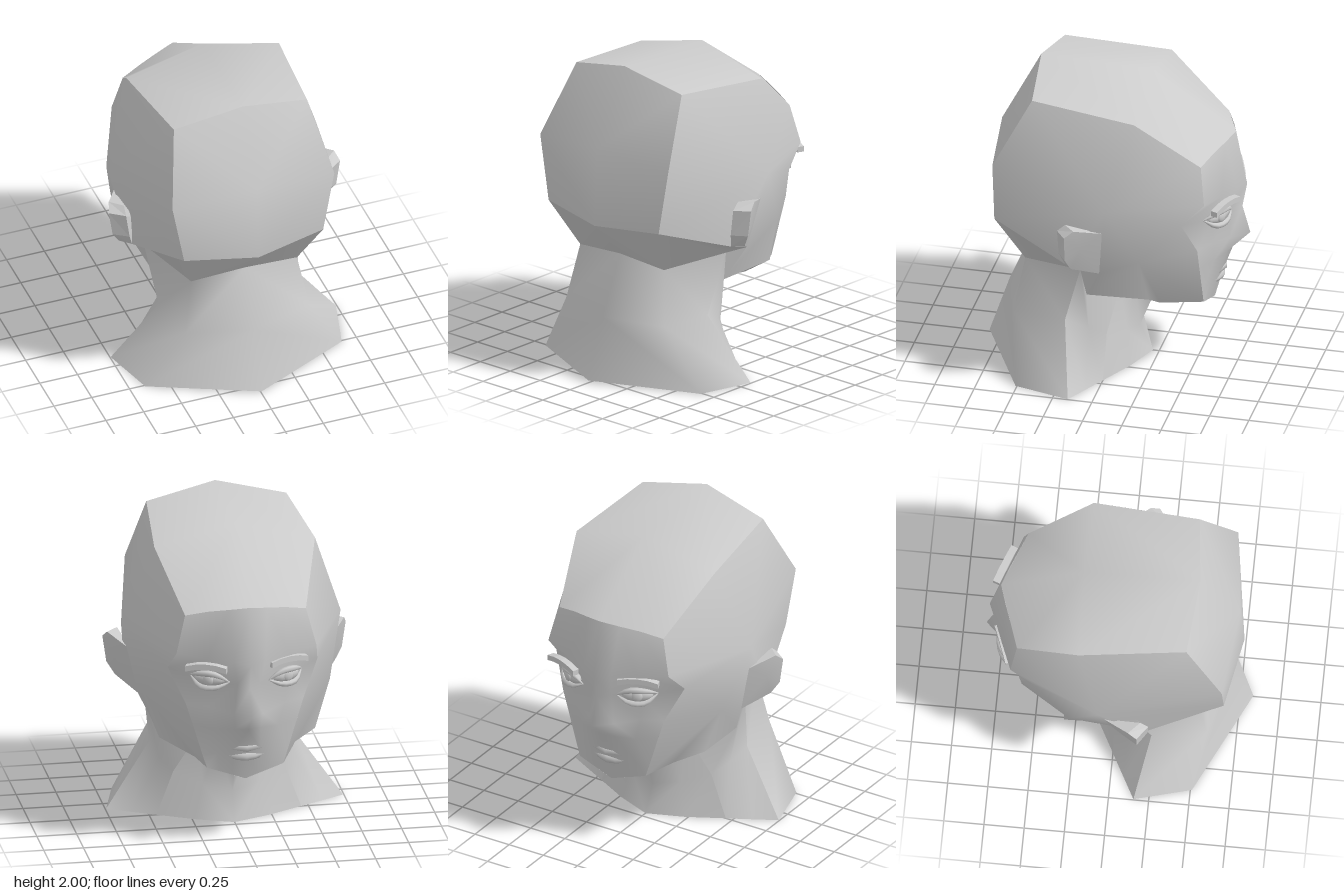
import * as THREE from 'three';
import { mergeVertices } from 'three/addons/utils/BufferGeometryUtils.js';

const material = new THREE.MeshStandardMaterial({ color: 0xcccccc, side: THREE.DoubleSide });
const flatMaterial = material.clone();
flatMaterial.flatShading = true;

// Shared seam points of the left half (+x); the face looks towards -z.
const nape = [0, 0.775, 0.54], occiput = [0, 1.02, 0.775], backMid = [0, 1.52, 0.75];
const crownBack = [0, 2, 0.5], crownFront = [0, 1.975, -0.22], hairline = [0, 1.61, -0.74];
const napeEdge = [0.35, 0.745, 0.52], occiputEdge = [0.46, 1.055, 0.69], backEdge = [0.535, 1.47, 0.685];
const crownBackEdge = [0.44, 1.905, 0.455], crownFrontEdge = [0.505, 1.85, -0.21], hairEdge = [0.38, 1.535, -0.605];
const browEdge = [0.44, 1.3, -0.64], temple = [0.47, 1.16, -0.5], cheekEdge = [0.37, 0.94, -0.58];
const chinEdge = [0.24, 0.515, -0.59], chin = [0, 0.435, -0.605];
const jawFront = [0.27, 0.49, -0.32], jawCorner = [0.49, 0.625, -0.3], jawBack = [0.47, 0.6, 0.1];
const neckSide = [0.515, 0.795, 0.13], earBase = [0.57, 0.81, 0], earBack = [0.62, 0.88, 0.2];
const throat = [0, 0.38, -0.21], throatIn = [0.1, 0.47, -0.12], throatOut = [0.2, 0.54, -0.05];

// Joins rows of points into a skin facing away from `inside`, then mirrors it in x.
function loft(rows, inside = [0.1, 1.1, 0]) {
  const tris = [];
  for (let r = 0; r < rows.length - 1; r++) {
    for (let i = 0; i < rows[r].length - 1; i++) {
      const a = rows[r][i], b = rows[r][i + 1], c = rows[r + 1][i + 1], d = rows[r + 1][i];
      tris.push([a, b, c], [a, c, d]);
    }
  }
  const core = new THREE.Vector3(...inside), normal = new THREE.Vector3(), mid = new THREE.Vector3();
  let facing = 0;
  const solid = tris.map((t) => new THREE.Triangle(...t.map((p) => new THREE.Vector3(...p))))
    .filter((t) => t.getArea() > 1e-6);
  for (const t of solid) facing += t.getArea() * t.getNormal(normal).dot(t.getMidpoint(mid).sub(core));
  const pos = [];
  for (const { a, b, c } of solid) {
    const [p, q] = facing > 0 ? [b, c] : [c, b];
    for (const v of [a, p, q]) pos.push(v.x, v.y, v.z);
    for (const v of [a, q, p]) pos.push(-v.x, v.y, v.z);
  }
  const geo = new THREE.BufferGeometry();
  geo.setAttribute('position', new THREE.Float32BufferAttribute(pos, 3));
  const merged = mergeVertices(geo, 1e-4);
  merged.computeVertexNormals();
  return merged;
}

// A copy reflected in x, with its faces turned the right way again.
function mirrored(geo) {
  const copy = geo.clone().scale(-1, 1, 1);
  copy.index.array.reverse();
  copy.computeVertexNormals();
  return copy;
}

// A tube that thins out towards both ends.
function taperedTube(points, radius) {
  const curve = new THREE.CatmullRomCurve3(points.map((p) => new THREE.Vector3(...p)));
  const steps = 8, sides = 6, geo = new THREE.TubeGeometry(curve, steps, radius, sides);
  const pos = geo.attributes.position, v = new THREE.Vector3();
  for (let i = 0; i < pos.count; i++) {
    const t = Math.floor(i / (sides + 1)) / steps;
    const centre = curve.getPointAt(t);
    v.fromBufferAttribute(pos, i).sub(centre).multiplyScalar(0.15 + 0.85 * Math.sin(Math.PI * t)).add(centre);
    pos.setXYZ(i, v.x, v.y, v.z);
  }
  geo.computeVertexNormals();
  return geo;
}

export function createModel() {
  const model = new THREE.Group();
  const add = (name, geo, mat = material) => {
    const mesh = new THREE.Mesh(geo, mat);
    mesh.name = name;
    model.add(mesh);
  };

  // Skull
  add('backOfSkull', loft([[occiput, occiputEdge], [backMid, backEdge], [crownBack, crownBackEdge]]));
  add('crown', loft([[crownBack, crownBackEdge], [crownFront, crownFrontEdge], [hairline, hairEdge]]));
  add('skullBase', loft([[occiput, occiputEdge, earBack, earBase], [nape, napeEdge, neckSide, neckSide]]));

  // Sides of the head, from the outline in to the widest point and the cheek
  const widest = [0.69, 1.31, -0.07], cheek = [0.59, 0.93, -0.26];
  add('headSides', loft([
    [occiputEdge, backEdge, crownBackEdge, crownFrontEdge, hairEdge, browEdge, temple,
      cheekEdge, chinEdge, jawFront, jawCorner, jawBack, earBase, earBase, earBack, occiputEdge],
    [widest, widest, widest, widest, widest, widest, widest,
      cheek, cheek, cheek, cheek, cheek, cheek, widest, widest, widest],
  ]));
  add('jawHinges', loft([[jawBack, neckSide], [earBase, earBase]]));

  // Face: each row runs from the centre line to the edge of the face
  add('face', loft([
    [hairline, [0.12, 1.59, -0.7], [0.24, 1.57, -0.655], hairEdge],
    [[0, 1.25, -0.81], [0.1, 1.27, -0.77], [0.26, 1.28, -0.71], browEdge],
    [[0, 1.09, -0.78], [0.07, 1.1, -0.72], [0.25, 1.11, -0.65], temple],
    [[0, 0.91, -0.83], [0.09, 0.9, -0.72], [0.24, 0.94, -0.65], cheekEdge],
    [[0, 0.8, -0.72], [0.08, 0.8, -0.7], [0.2, 0.79, -0.645], [0.327, 0.8, -0.583]],
    [[0, 0.62, -0.655], [0.09, 0.62, -0.645], [0.18, 0.62, -0.615], [0.267, 0.6, -0.588]],
    [chin, [0.08, 0.462, -0.6], [0.16, 0.488, -0.595], chinEdge],
  ]));

  add('underJaw', loft([
    [jawBack, jawCorner, jawFront, chinEdge, chin],
    [jawBack, throatOut, throatIn, throat, throat],
  ]), flatMaterial);

  // Neck, flared and open at the bottom
  const neckCore = [0.05, 0.35, 0.25];
  const sideMid = [0.46, 0.4, 0.24], sideFoot = [0.745, 0, 0.155];
  const frontMid = [0.35, 0.28, 0], frontFoot = [0.455, 0, 0];
  add('neckBack', loft([
    [nape, napeEdge, neckSide],
    [[0, 0.4, 0.7], [0.41, 0.4, 0.58], sideMid],
    [[0, 0.015, 0.83], [0.65, 0, 0.51], sideFoot],
  ], neckCore));
  add('neckSides', loft([
    [neckSide, jawBack, throatOut],
    [sideMid, [0.42, 0.34, 0.1], frontMid],
    [sideFoot, [0.6, 0, 0.077], frontFoot],
  ], neckCore));
  add('throat', loft([
    [throatOut, throatIn, throat],
    [frontMid, [0.18, 0.22, -0.09], [0, 0.175, -0.13]],
    [frontFoot, [0.23, 0, -0.12], [0, 0, -0.21]],
  ], neckCore));

  // Ears: a smooth outer face, and a broad rim running back into the head
  const earFront = [0.65, 1.14, -0.04], lobe = [0.565, 0.81, -0.01], earCore = [0.6, 1.02, 0.1];
  const earFace = [earFront, [0.745, 1.185, 0.12], [0.765, 1.14, 0.175], [0.74, 0.97, 0.175], [0.69, 0.89, 0.15], lobe];
  const earRim = [earFront, [0.67, 1.185, 0.19], [0.675, 1.14, 0.24], [0.65, 0.97, 0.235], [0.62, 0.88, 0.2], lobe];
  add('earFaces', loft([[...earFace, earFront], [...earFace, earFront].map(() => [0.705, 1.04, 0.08])], earCore));
  add('earRims', loft([earFace, earRim, earRim.map(() => [0.57, 1.02, 0.12])], earCore), flatMaterial);

  // Eyes: ball, iris and two lids, turned with the face
  const place = (geo) => geo.rotateY(-0.48).translate(0.24, 1.137, -0.683);
  const lid = (h) => taperedTube([[-0.13, -0.01, 0.005], [-0.05, h, -0.03], [0.05, h, -0.03], [0.13, 0.01, 0.01]], 0.02);
  const eyeParts = {
    Eyeball: new THREE.SphereGeometry(1, 12, 8).scale(0.1, 0.045, 0.035),
    Iris: new THREE.SphereGeometry(0.035, 10, 6).scale(1, 1, 0.4).translate(0, 0, -0.03),
    UpperLid: lid(0.04),
    LowerLid: lid(-0.045),
  };
  for (const [part, geo] of Object.entries(eyeParts)) {
    place(geo);
    add('left' + part, geo);
    add('right' + part, mirrored(geo));
  }

  // Eyebrows: bent bars, the left one standing further out
  const brow = new THREE.BoxGeometry(0.26, 0.035, 0.045, 4, 1, 1);
  const bp = brow.attributes.position;
  for (let i = 0; i < bp.count; i++) bp.setY(i, bp.getY(i) - 1.2 * bp.getX(i) ** 2);
  brow.rotateY(-0.36);
  add('leftEyebrow', brow.clone().translate(0.27, 1.243, -0.738), flatMaterial);
  add('rightEyebrow', mirrored(brow).translate(-0.255, 1.25, -0.7), flatMaterial);

  // Lips
  const lip = (y, z) => taperedTube([[-0.195, 0.63, -0.6], [-0.08, y, z + 0.02], [0, y - 0.005, z],
    [0.08, y, z + 0.02], [0.195, 0.63, -0.6]], 0.03);
  add('upperLip', lip(0.662, -0.655));
  add('lowerLip', lip(0.6, -0.64));

  return model;
}
